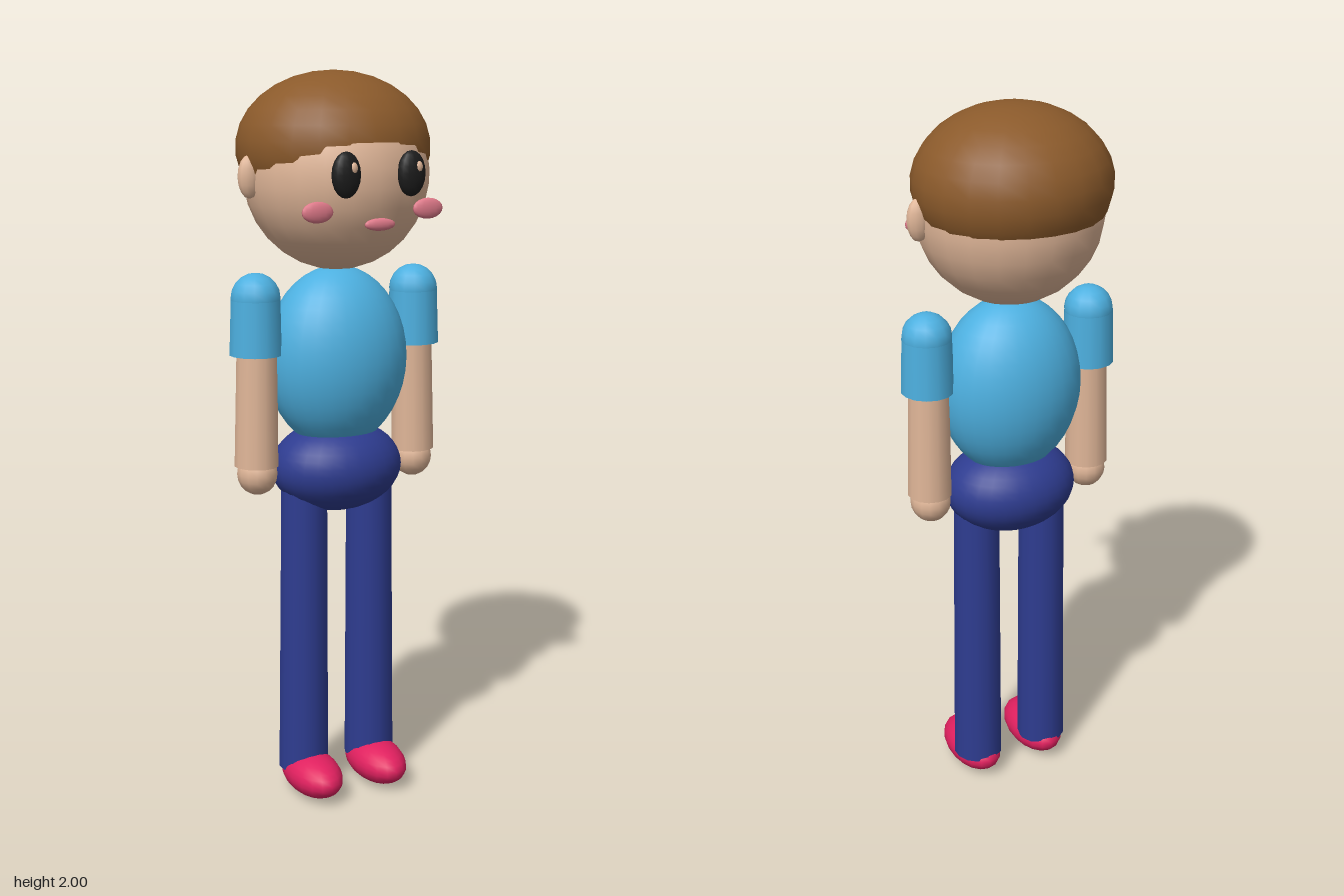
import * as THREE from 'three';

const mat = (name, color) => {
  const m = new THREE.MeshStandardMaterial({ color });
  m.name = name;
  return m;
};

export function createModel() {
  const skin = mat('skin', 0xe0b698);
  const hair = mat('hair brown', 0x8b5a2b);
  const shirt = mat('shirt blue', 0x4db0e0);
  const navy = mat('trouser navy', 0x2e3c90);
  const pink = mat('shoe pink', 0xe0205f);
  const blush = mat('blush', 0xe07a8a);
  const black = mat('eye black', 0x1c1c1c);

  const model = new THREE.Group();
  model.name = 'figure';

  // Ellipsoid with centre [x, y, z] and radii [x, y, z]
  const ellipsoid = (name, material, centre, radii, seg = 22) => {
    const geo = new THREE.SphereGeometry(1, seg, Math.max(8, Math.round(seg * 0.7)));
    geo.rotateY(Math.PI / 2).scale(...radii);
    const mesh = new THREE.Mesh(geo, material);
    mesh.name = name;
    mesh.position.set(...centre);
    model.add(mesh);
  };

  // Tapered limb between two points
  const limb = (name, material, top, bottom, rTop, rBottom) => {
    const a = new THREE.Vector3(...top), b = new THREE.Vector3(...bottom);
    const dir = a.clone().sub(b);
    const mesh = new THREE.Mesh(new THREE.CylinderGeometry(rTop, rBottom, dir.length(), 14), material);
    mesh.name = name;
    mesh.position.copy(a).add(b).multiplyScalar(0.5);
    mesh.quaternion.setFromUnitVectors(new THREE.Vector3(0, 1, 0), dir.normalize());
    model.add(mesh);
  };

  // Head, hair cap and mouth
  ellipsoid('head', skin, [0, 1.73, 0], [0.248, 0.25, 0.245]);
  ellipsoid('hair', hair, [0, 1.8, -0.018], [0.262, 0.2, 0.247]);
  ellipsoid('mouth', blush, [0, 1.617, 0.243], [0.044, 0.016, 0.01], 14);

  // Body
  ellipsoid('torso', shirt, [0, 1.24, 0], [0.2, 0.25, 0.16], 28);
  ellipsoid('hips', navy, [0, 0.94, 0], [0.186, 0.125, 0.152], 28);

  for (const s of [1, -1]) {
    const side = s > 0 ? 'left' : 'right';

    // Face details
    ellipsoid(side + 'Ear', skin, [s * 0.252, 1.73, 0], [0.032, 0.056, 0.023], 12);
    ellipsoid(side + 'Eye', black, [s * 0.093, 1.742, 0.237], [0.04, 0.058, 0.022], 14);
    ellipsoid(side + 'EyeGlint', skin, [s * 0.093 + 0.013, 1.759, 0.252], [0.011, 0.015, 0.008], 10);
    ellipsoid(side + 'Cheek', blush, [s * 0.159, 1.65, 0.209], [0.044, 0.027, 0.012], 14);

    // Arm
    ellipsoid(side + 'Shoulder', shirt, [s * 0.238, 1.415, 0], [0.067, 0.067, 0.067], 14);
    limb(side + 'Sleeve', shirt, [s * 0.238, 1.42, 0], [s * 0.239, 1.265, 0], 0.066, 0.071);
    limb(side + 'Forearm', skin, [s * 0.234, 1.4, 0], [s * 0.241, 0.963, 0], 0.053, 0.06);
    ellipsoid(side + 'Hand', skin, [s * 0.239, 0.942, 0], [0.055, 0.059, 0.058], 14);

    // Leg and shoe
    limb(side + 'Leg', navy, [s * 0.1, 0.93, 0.003], [s * 0.105, 0.07, 0.001], 0.064, 0.071);
    ellipsoid(side + 'Shoe', pink, [s * 0.102, 0.062, 0.049], [0.074, 0.059, 0.127], 18);
  }

  return model;
}
